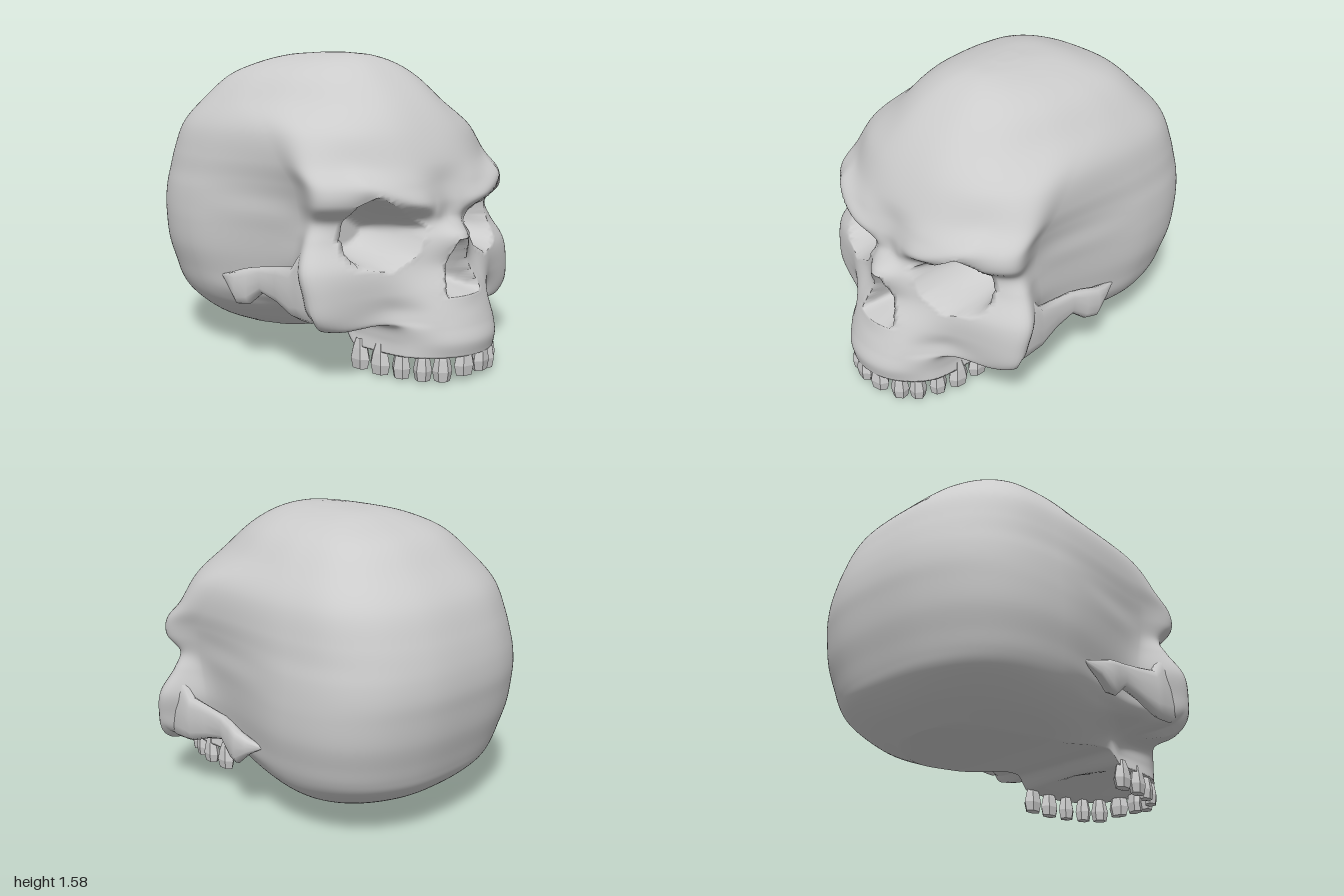
import * as THREE from 'three';

const material = new THREE.MeshStandardMaterial({ color: 0xcccccc, side: THREE.DoubleSide });
const { smoothstep, lerp, clamp } = THREE.MathUtils;

// Level outlines of the head: height, half width, back z, front z
const levels = [
  [0.13, 0.35, -0.64, 0.99], [0.2, 0.51, -0.78, 1.0], [0.27, 0.61, -0.86, 0.975],
  [0.31, 0.645, -0.89, 0.96], [0.36, 0.67, -0.91, 0.94], [0.44, 0.69, -0.935, 0.915],
  [0.56, 0.715, -0.97, 0.86], [0.69, 0.72, -0.99, 0.895], [0.78, 0.715, -1, 0.785],
  [0.87, 0.705, -0.995, 0.775], [0.95, 0.69, -0.98, 0.755], [1.05, 0.675, -0.95, 0.735],
  [1.2, 0.635, -0.885, 0.655], [1.34, 0.54, -0.76, 0.545], [1.46, 0.425, -0.63, 0.41],
  [1.53, 0.3, -0.47, 0.3], [1.57, 0.16, -0.33, 0.19], [1.585, 0.05, -0.12, 0.03],
];

// Face points (x, z) of the lower levels: beside the nose, middle, cheek, temple hollow
const face = [
  [0.16, 0.95, 0.31, 0.80, 0.34, 0.47, 0.32, 0.31],
  [0.18, 0.95, 0.31, 0.79, 0.335, 0.46, 0.38, 0.29],
  [0.18, 0.93, 0.32, 0.79, 0.36, 0.53, 0.46, 0.29],
  [0.19, 0.91, 0.36, 0.75, 0.65, 0.57, 0.53, 0.32],
  [0.19, 0.89, 0.36, 0.74, 0.71, 0.58, 0.57, 0.32],
  [0.20, 0.85, 0.40, 0.73, 0.73, 0.57, 0.58, 0.31],
  [0.20, 0.79, 0.42, 0.71, 0.735, 0.54, 0.60, 0.30],
  [0.16, 0.78, 0.40, 0.65, 0.665, 0.50, 0.60, 0.33],
  [0.14, 0.74, 0.40, 0.645, 0.62, 0.50, 0.60, 0.35],
  [0.20, 0.79, 0.46, 0.70, 0.66, 0.56, 0.61, 0.34],
  [0.22, 0.77, 0.48, 0.69, 0.665, 0.55, 0.625, 0.33],
  [0.25, 0.71, 0.47, 0.61, 0.645, 0.46, 0.64, 0.25],
  [0.24, 0.63, 0.45, 0.53, 0.595, 0.36, 0.625, 0.12],
];

// Convex openings, corners clockwise
const socket = [[0.14, 0.74], [0.44, 0.92], [0.52, 0.87], [0.545, 0.63], [0.5, 0.57], [0.35, 0.545], [0.21, 0.61]];
const nostril = [[-0.035, 0.685], [0.035, 0.685], [0.13, 0.41], [-0.13, 0.41]];

// Signed distance to each edge line of an opening, with the outward normal
const edges = (poly, x, y) => poly.map(([ax, ay], i) => {
  const [bx, by] = poly[(i + 1) % poly.length];
  const l = Math.hypot(bx - ax, by - ay), nx = (ay - by) / l, ny = (bx - ax) / l;
  return { d: -(nx * (x - ax) + ny * (y - ay)), nx, ny };
});

// Sink an opening to a floor depth, after drawing close vertices onto its rim
function sink(p, poly, floor, width) {
  const side = p.x < 0 ? -1 : 1;
  const near = edges(poly, Math.abs(p.x), p.y).reduce((a, b) => (b.d < a.d ? b : a));
  if (Math.abs(near.d) < 0.01) {
    p.x += side * near.nx * near.d;
    p.y += near.ny * near.d;
    return;
  }
  const fall = edges(poly, Math.abs(p.x), p.y).reduce((f, e) => f * (1 - (1 - clamp(e.d / width, 0, 1)) ** 2), 1);
  p.z = lerp(p.z, Math.min(p.z, floor), fall);
}

// Closed outline of one level, from the front centre round by the left side
function outline(level, i) {
  const [y, w, back, front] = level;
  const mid = back + 0.35 * (Math.min(front, 0.75) - back);
  const round = (deg, end) => {
    const a = THREE.MathUtils.degToRad(deg);
    return [w * Math.sin(a) ** 0.8, mid + (end - mid) * Math.cos(a) ** 0.8];
  };
  const f = face[i];
  const half = f ? [0, 2, 4, 6].map((k) => [f[k], f[k + 1]]) : [17, 40, 62, 80].map((d) => round(d, front));
  half.push([w, mid], ...[66, 44, 20].map((d) => round(d, back)));
  const points = [[0, front], ...half, [0, back], ...half.reverse().map(([x, z]) => [-x, z])];
  return new THREE.CatmullRomCurve3(points.map(([x, z]) => new THREE.Vector3(x, y, z)), true);
}

// Brow ridge, sockets, nose opening, drooping cheeks and the arched underside
function sculpt(p, isFace) {
  const ax = Math.abs(p.x);
  if (isFace) {
    const t = clamp((ax - 0.1) / 0.38, 0, 1);
    const brow = Math.hypot(ax - lerp(0.1, 0.48, t), p.y - lerp(0.79, 0.96, t));
    p.z += 0.03 * Math.exp(-((brow / 0.06) ** 2));
    sink(p, socket, 0.42, 0.09);
    sink(p, nostril, 0.69, 0.07);
    p.y -= 0.035 * smoothstep(ax, 0.34, 0.6) * (1 - smoothstep(p.y, 0.3, 0.48));
  }
  const low = 1 - smoothstep(p.y, 0.13, 0.4);
  p.y += low * (0.075 * smoothstep(p.z, -0.1, 0.36) * (1 - smoothstep(p.z, 0.38, 0.48))
    - 0.035 * (1 - smoothstep(Math.abs(p.z + 0.4), 0, 0.4)));
  return p;
}

function skullGeometry() {
  const step = 12, cols = 18 * step, rows = (levels.length - 1) * 8;
  const curves = levels.map(outline);
  const grid = Array.from({ length: rows + 1 }, () => []);
  for (let c = 0; c < cols; c++) {
    const column = new THREE.CatmullRomCurve3(curves.map((k) => k.getPoint(c / cols)));
    const isFace = Math.min(c, cols - c) <= 3 * step;
    for (let r = 0; r <= rows; r++) grid[r].push(sculpt(column.getPoint(r / rows), isFace));
  }
  // Close crown and base along the centre line, with a shallow palate
  const close = (ring, s, lift) => ring.map((p) => new THREE.Vector3(p.x * s, p.y + lift(p.z) * (1 - s), p.z));
  const palate = (z) => 0.05 * smoothstep(z, 0.4, 0.6) * (1 - smoothstep(z, 0.8, 0.95));
  const base = grid[0];
  grid.unshift(...[0, 0.35, 0.7].map((s) => close(base, s, palate)));
  grid.push(close(grid[grid.length - 1], 0, () => 0));
  return skin(grid);
}

// Surface over closed rings of equal length
function skin(rings) {
  const n = rings[0].length, index = [];
  for (let r = 0; r < rings.length - 1; r++) {
    for (let c = 0; c < n; c++) {
      const a = r * n + c, b = r * n + (c + 1) % n;
      index.push(a, b, b + n, a, b + n, a + n);
    }
  }
  const geometry = new THREE.BufferGeometry().setFromPoints(rings.flat());
  geometry.setIndex(index);
  geometry.computeVertexNormals();
  return geometry;
}

// Cheek arch sections from back to front: z, centre x, lower y, upper y, half thickness
const archSections = [[-0.19, 0.66, 0.425, 0.435, 0.005], [-0.1, 0.67, 0.37, 0.46, 0.03], [-0.03, 0.675, 0.305, 0.485, 0.04],
  [0.04, 0.66, 0.315, 0.505, 0.035], [0.125, 0.645, 0.385, 0.52, 0.03], [0.25, 0.645, 0.355, 0.54, 0.03],
  [0.37, 0.65, 0.31, 0.56, 0.04], [0.42, 0.645, 0.3, 0.63, 0.045], [0.5, 0.65, 0.3, 0.66, 0.045], [0.56, 0.66, 0.33, 0.56, 0.02]];

function archGeometry(side) {
  const sides = 12;
  const bulge = (v) => Math.sign(v) * Math.abs(v) ** 0.8;
  return skin(archSections.map(([z, x, low, high, thick]) => Array.from({ length: sides }, (_, k) => {
    const a = (k / sides) * Math.PI * 2;
    return new THREE.Vector3(side * x + thick * bulge(Math.cos(a)), (low + high) / 2 + ((high - low) / 2) * bulge(Math.sin(a)), z);
  })));
}

// Faceted tooth with a narrow root and a blunt edge
const toothGeometry = new THREE.LatheGeometry(
  [[0, 0], [0.46, 0.005], [0.58, 0.055], [0.45, 0.11], [0.25, 0.16]].map(([r, y]) => new THREE.Vector2(r, y)), 6, Math.PI / 6,
).toNonIndexed();
toothGeometry.computeVertexNormals();

// Teeth of one side: x, z, width, lower end, turn
const teeth = [[0.06, 0.955, 0.105, 0.025, 0.2], [0.17, 0.91, 0.085, 0.005, 0.7], [0.245, 0.85, 0.08, 0.01, 1.0],
  [0.29, 0.75, 0.085, 0.01, 1.25], [0.32, 0.635, 0.105, 0.01, 1.45], [0.325, 0.5, 0.11, 0.01, 1.55]];

export function createModel() {
  const model = new THREE.Group();
  const add = (name, geometry) => {
    const mesh = new THREE.Mesh(geometry, material);
    mesh.name = name;
    model.add(mesh);
    return mesh;
  };
  add('skull', skullGeometry());
  for (const side of [1, -1]) {
    const label = side > 0 ? 'left' : 'right';
    add(label + 'CheekArch', archGeometry(side));
    teeth.forEach(([x, z, width, y, turn], i) => {
      const tooth = add(label + 'Tooth' + (i + 1), toothGeometry);
      tooth.position.set(side * x, y, z);
      tooth.scale.set(width, 1, 0.07);
      tooth.rotation.y = side * turn;
    });
  }
  return model;
}
